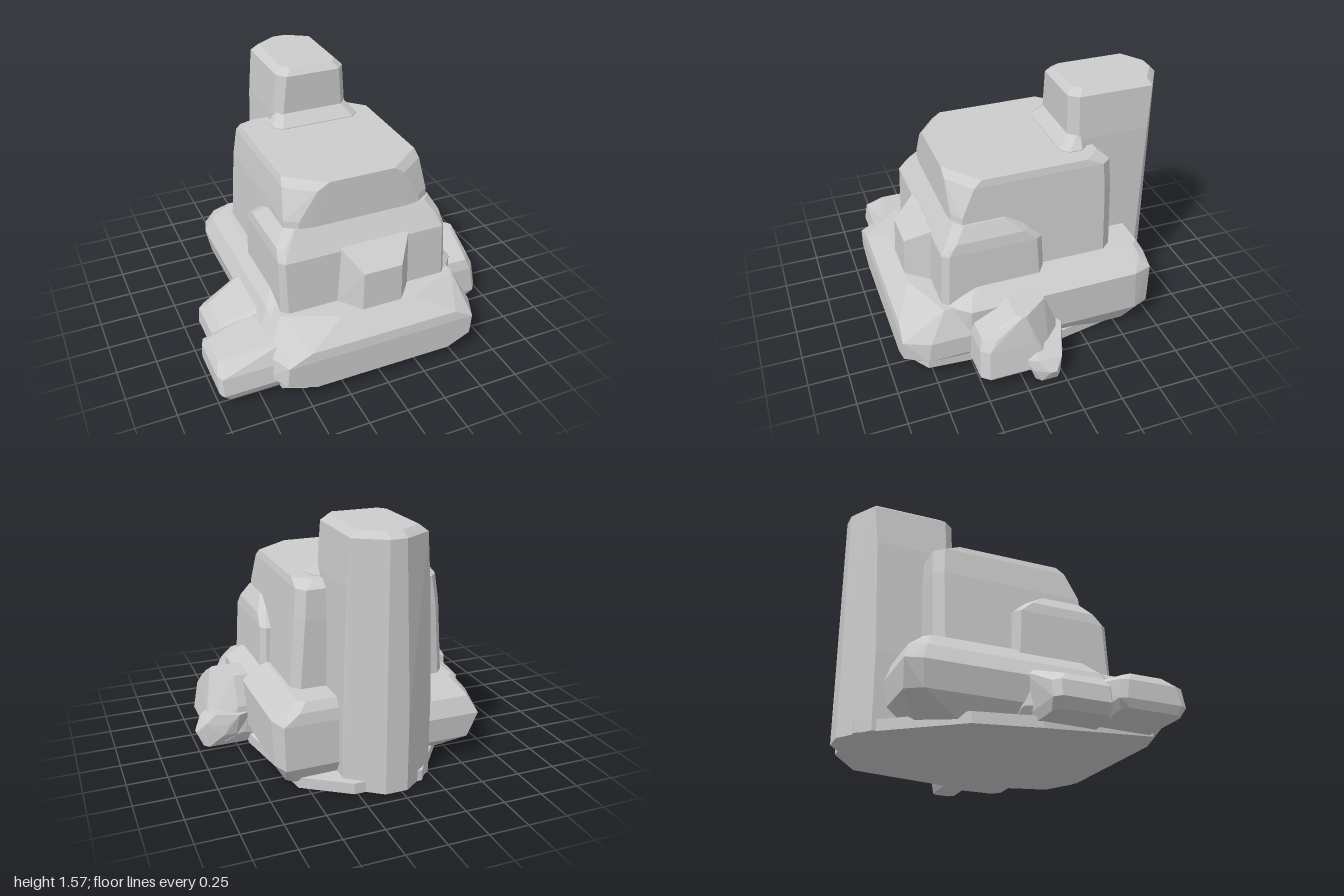
import * as THREE from 'three';
import { ConvexGeometry } from 'three/addons/geometries/ConvexGeometry.js';

const stone = new THREE.MeshStandardMaterial({ color: 0xcccccc });
stone.name = 'grey stone';

// Horizontal rectangle at height y; front corners cut by (fx, fz), back corners by (bx, bz)
function ring(y, x0, x1, z0, z1, fx = 0.04, fz = fx, bx = fx, bz = fz) {
  return [
    [x0 + fx, y, z1], [x1 - fx, y, z1], [x1, y, z1 - fz], [x1, y, z0 + bz],
    [x1 - bx, y, z0], [x0 + bx, y, z0], [x0, y, z0 + bz], [x0, y, z1 - fz],
  ];
}

export function createModel() {
  const group = new THREE.Group();
  group.name = 'rockFormation';

  // Flat-faced boulder: the hull around a stack of outlines
  function rock(name, ...points) {
    const geo = new ConvexGeometry(points.flat().map((p) => new THREE.Vector3(...p)));
    const mesh = new THREE.Mesh(geo, stone);
    mesh.name = name;
    group.add(mesh);
  }

  // Flat footing under the base, its underside rising towards the front
  const outline = [
    [0.5, 0.9], [-0.5, 0.9], [-0.63, 0.84], [-0.66, 0.1], [-0.58, -0.3], [-0.17, -0.85],
    [0.27, -0.85], [0.55, -0.66], [0.67, 0], [0.66, 0.78],
  ];
  rock('footing', ...[0, 0.07].map((h) => outline.map(([x, z]) =>
    [x, h + 0.075 * Math.max(0, z - 0.12), z])));

  // Tall pillar at the back, with a rounded rear and a small collar
  rock('backPillar',
    ring(0, -0.25, 0.31, -0.92, -0.3, 0.04, 0.05, 0.21, 0.15),
    ring(0.5, -0.25, 0.31, -0.92, -0.28, 0.04, 0.05, 0.21, 0.15),
    ring(1.25, -0.21, 0.3, -0.92, -0.27, 0.05, 0.06, 0.2, 0.13),
    ring(1.53, -0.18, 0.28, -0.92, -0.27, 0.05, 0.06, 0.18, 0.11),
    ring(1.57, -0.13, 0.24, -0.88, -0.31, 0.04, 0.05, 0.14, 0.09));
  rock('pillarCollar',
    ring(1.18, -0.24, 0.35, -0.38, -0.2, 0.05),
    ring(1.21, -0.24, 0.35, -0.38, -0.2, 0.05),
    ring(1.28, -0.19, 0.29, -0.38, -0.27, 0.04));

  // Main block with a flat top and cut front corners
  rock('mainBlock',
    ring(0.4, -0.5, 0.53, -0.49, 0.55, 0.06, 0.06, 0.05, 0.06),
    ring(0.98, -0.46, 0.485, -0.49, 0.53, 0.08, 0.05, 0.05, 0.06),
    ring(1.16, -0.435, 0.47, -0.48, 0.53, 0.17, 0.13, 0.05, 0.06),
    ring(1.205, -0.42, 0.46, -0.42, 0.53, 0.23, 0.18, 0.1, 0.1));

  // Wider shoulder around the front half
  rock('shoulder',
    ring(0.38, -0.54, 0.58, -0.02, 0.65, 0.04),
    ring(0.78, -0.54, 0.56, 0.0, 0.63, 0.03, 0.04),
    ring(0.85, -0.53, 0.55, 0.08, 0.58, 0.04),
    ring(0.94, -0.46, 0.5, 0.18, 0.53, 0.05));

  // Projecting buttress in the middle of the front
  rock('frontButtress', [
    [-0.21, 0.38, 0.62], [-0.08, 0.38, 0.79], [0.18, 0.38, 0.79], [0.32, 0.38, 0.62],
    [-0.07, 0.68, 0.775], [0.18, 0.68, 0.775],
    [-0.16, 0.8, 0.62], [0.3, 0.8, 0.62], [0, 0.5, 0.4],
  ]);

  // Broad base: a terrace on each side and a sloping apron in front
  rock('leftTerrace',
    ring(0.01, 0, 0.6, -0.64, 0.3, 0.08),
    ring(0.15, 0, 0.68, -0.71, 0.6, 0.06, 0.1, 0.04),
    ring(0.43, 0, 0.685, -0.71, 0.62, 0.1, 0.12, 0.04),
    ring(0.5, 0, 0.6, -0.7, 0.52, 0.05),
    ring(0.555, 0, 0.54, -0.67, 0.42, 0.04));
  rock('rightTerrace',
    ring(0.01, -0.52, 0, -0.52, 0.3, 0.08, 0.1, 0.2, 0.2),
    ring(0.15, -0.62, 0, -0.69, 0.6, 0.06, 0.1, 0.06),
    ring(0.31, -0.65, 0, -0.71, 0.65, 0.04, 0.1, 0.03),
    ring(0.42, -0.6, 0, -0.67, 0.62, 0.06, 0.1, 0.04),
    ring(0.52, -0.52, 0, -0.56, 0.45, 0.04));
  rock('frontApron',
    ring(0.01, -0.5, 0.6, -0.1, 0.2, 0.05),
    ring(0.06, -0.56, 0.58, 0.1, 0.92, 0.12, 0.08),
    ring(0.13, -0.7, 0.69, 0.0, 0.92, 0.08, 0.14),
    ring(0.26, -0.68, 0.69, 0.0, 0.92, 0.07, 0.16),
    ring(0.32, -0.62, 0.66, 0.0, 0.91, 0.16, 0.2),
    ring(0.435, -0.56, 0.61, 0.0, 0.79, 0.34, 0.14));

  // Boulders on the model's right side
  rock('rightFrontBoulder',
    ring(0.06, -0.98, -0.5, 0.43, 0.81, 0.04),
    ring(0.11, -1, -0.5, 0.4, 0.83, 0.02, 0.04),
    ring(0.22, -1, -0.5, 0.41, 0.81, 0.02, 0.05),
    ring(0.27, -0.97, -0.5, 0.46, 0.72, 0.03),
    ring(0.32, -0.64, -0.5, 0.4, 0.76, 0.03));
  rock('rightRearBoulder',
    ring(0.04, -0.87, -0.5, 0.07, 0.44, 0.05),
    ring(0.1, -0.92, -0.5, 0.05, 0.43, 0.04),
    ring(0.2, -0.91, -0.5, 0.05, 0.43, 0.04),
    ring(0.26, -0.86, -0.5, 0.1, 0.42, 0.04),
    ring(0.36, -0.62, -0.5, 0.02, 0.46, 0.04));

  // Boulder and pointed spur on the model's left side
  rock('leftBoulder',
    ring(0.04, 0.5, 0.88, 0.0, 0.5, 0.05),
    ring(0.1, 0.5, 0.93, -0.03, 0.52, 0.04, 0.05, 0.2, 0.12),
    ring(0.28, 0.5, 0.9, -0.02, 0.51, 0.04, 0.05, 0.16, 0.2),
    ring(0.35, 0.5, 0.88, 0.03, 0.49, 0.05, 0.08, 0.14, 0.18),
    ring(0.465, 0.5, 0.86, 0.06, 0.27, 0.03, 0.03, 0.12, 0.16));
  rock('leftSpur',
    ring(0.01, 0.65, 0.96, 0.02, 0.18, 0.03),
    ring(0.1, 0.6, 1, -0.03, 0.2, 0.05, 0.09, 0.16, 0.1),
    ring(0.17, 0.6, 0.95, -0.04, 0.24, 0.04, 0.06, 0.14, 0.06),
    ring(0.24, 0.6, 0.88, -0.06, 0.2, 0.04, 0.04, 0.14, 0.06));

  return group;
}
